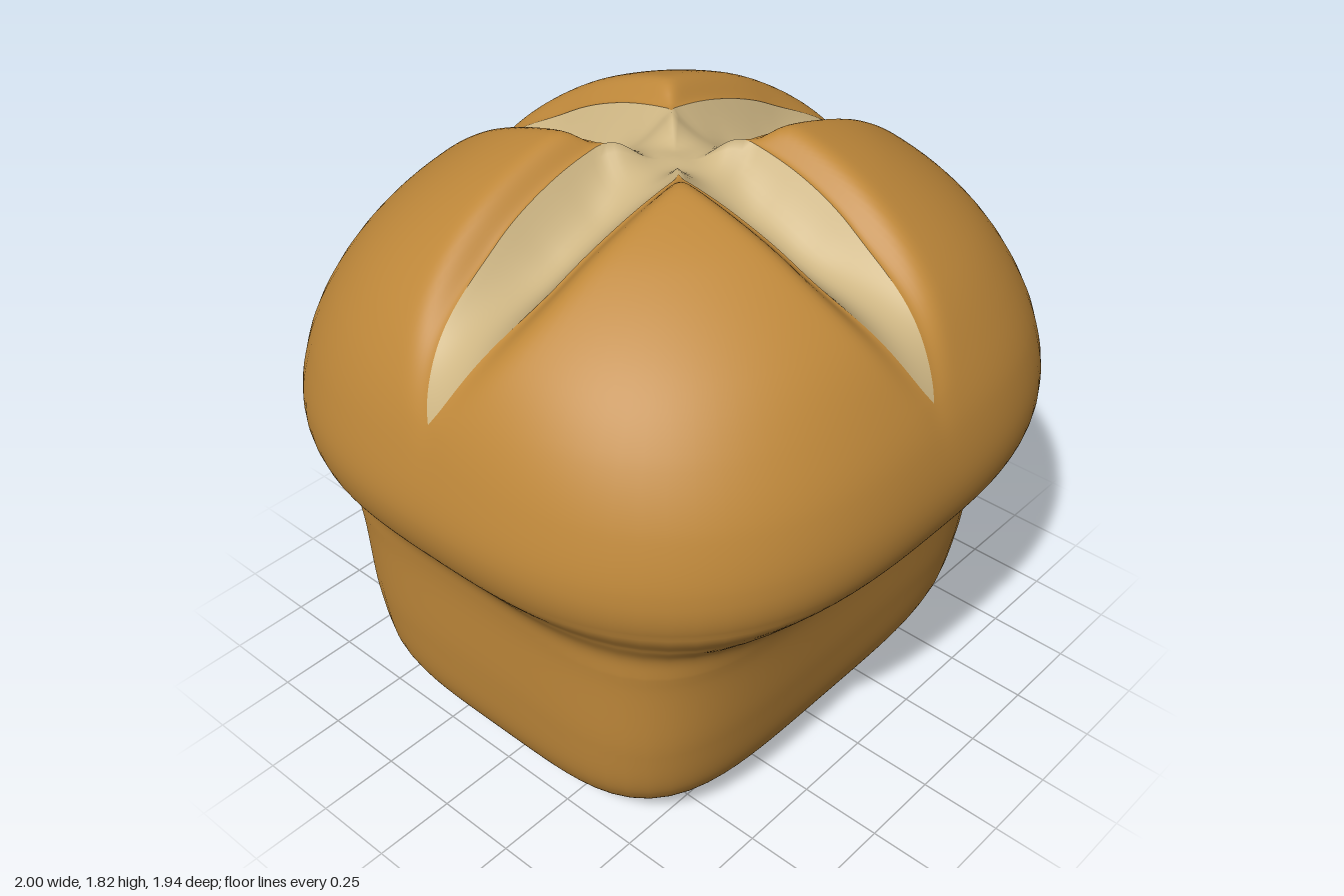
import * as THREE from 'three';
import { mergeVertices } from 'three/addons/utils/BufferGeometryUtils.js';

// Loaf outline from crown to underside: half width x, height y, half depth z, squareness
const PROFILE = [
  [0, 1.86, 0, 2.1], [0.2, 1.845, 0.19, 2.1], [0.4, 1.795, 0.385, 2.15], [0.6, 1.705, 0.57, 2.2],
  [0.8, 1.55, 0.76, 2.35], [0.9, 1.41, 0.86, 2.5], [0.965, 1.25, 0.935, 2.6], [1, 1.07, 0.968, 2.65],
  [0.975, 0.95, 0.945, 2.75], [0.91, 0.86, 0.87, 3.1], [0.86, 0.78, 0.775, 3.7], [0.845, 0.7, 0.735, 4.2],
  [0.83, 0.4, 0.69, 4.4], [0.8, 0.2, 0.65, 4.4], [0.74, 0.1, 0.6, 4.2], [0.62, 0.04, 0.5, 4],
  [0.4, 0.01, 0.32, 4], [0, 0, 0, 4],
];
const TIP = 0.93;
const EQUATOR = 7;
const STEPS = 9;
const { smoothstep, lerp } = THREE.MathUtils;

// Rings of the loaf, each with the half angle of the cut and its depths
function makeRows() {
  const curve = new THREE.CatmullRomCurve3(PROFILE.map(([x, y, z]) => new THREE.Vector3(x, y, z)));
  const segments = PROFILE.length - 1;
  const rows = [];
  for (let i = 0; i <= segments * STEPS; i++) {
    const f = i / STEPS;
    const k = Math.min(Math.floor(f), segments - 1);
    const p = curve.getPoint(f / segments);
    const s = f < EQUATOR ? Math.max(p.x, 0) : 1;
    const half = s < TIP ? 0.15 * Math.pow(1 - Math.pow(s / TIP, 4), 0.7) : 0;
    const angle = half >= s * Math.SQRT1_2 ? Math.PI / 4 : Math.asin(half / s);
    const lip = 0.065 * (1 - smoothstep(s, 0.6, 0.99));
    const floor = lip + (0.065 + 0.05 * smoothstep(s, 0.1, 0.35)) * (1 - smoothstep(s, 0.5, TIP));
    rows.push({
      a: Math.max(p.x, 0), b: Math.max(p.z, 0), y: p.y, s, angle, lip, floor,
      n: lerp(PROFILE[k][3], PROFILE[k + 1][3], f - k),
    });
  }
  return rows;
}

// Point on a ring, pressed inward by the given depth
function surfacePoint(row, theta, depth) {
  const c = Math.cos(theta), s = Math.sin(theta);
  let x = 0, z = 0;
  if (row.a > 1e-5 && row.b > 1e-5) {
    const r = Math.pow(Math.pow(Math.abs(c / row.a), row.n) + Math.pow(Math.abs(s / row.b), row.n), -1 / row.n);
    x = r * c;
    z = r * s;
  }
  const p = new THREE.Vector3(x, row.y, z);
  if (depth > 0) {
    p.addScaledVector(new THREE.Vector3(x, (row.y - 1) / 0.75, z / 0.93).normalize(), -depth);
  }
  return p;
}

// Crumb: hollow floor between the two lips of one arm, v from -1 to 1
function crumbPoint(row, arm, u) {
  const v = 2 * u - 1;
  const edge = lerp(row.floor, row.lip, smoothstep(row.s, 0.06, 0.185));
  return surfacePoint(row, arm * Math.PI / 2 + v * row.angle, edge + (row.floor - edge) * (1 - v * v));
}

// Crust: one quarter of the loaf, rolling down towards the cuts on both sides
function crustPoint(row, quarter, u) {
  const eased = u - 0.75 * Math.sin(2 * Math.PI * u) / (2 * Math.PI);
  const span = Math.PI / 2 - 2 * row.angle;
  const d1 = row.s * span * eased;
  const d2 = row.s * span * (1 - eased);
  const d = Math.max(0, -Math.log(Math.exp(-50 * d1) + Math.exp(-50 * d2)) / 50);
  const depth = row.lip * Math.exp(-Math.pow(d / 0.05, 2));
  return surfacePoint(row, quarter * Math.PI / 2 + row.angle + span * eased, depth);
}

// Four grids of quads around the loaf, welded for smooth normals
function buildShell(rows, cols, pointAt) {
  const positions = [];
  const indices = [];
  for (let part = 0; part < 4; part++) {
    const base = positions.length / 3;
    rows.forEach((row, i) => {
      for (let j = 0; j <= cols; j++) {
        positions.push(...pointAt(row, part, j / cols).toArray());
        if (i > 0 && j > 0) {
          const d = base + i * (cols + 1) + j;
          const c = d - 1, b = d - cols - 1, a = b - 1;
          indices.push(a, b, c, b, d, c);
        }
      }
    });
  }
  const geometry = new THREE.BufferGeometry();
  geometry.setAttribute('position', new THREE.Float32BufferAttribute(positions, 3));
  geometry.setIndex(indices);
  const welded = mergeVertices(geometry, 1e-4);
  welded.computeVertexNormals();
  return welded;
}

export function createModel() {
  const crustBrown = new THREE.MeshStandardMaterial({ color: 0xbf883a });
  crustBrown.name = 'crustBrown';
  const crumbCream = new THREE.MeshStandardMaterial({ color: 0xcdb583 });
  crumbCream.name = 'crumbCream';

  const rows = makeRows();
  const firstCrust = rows.findIndex((r) => r.angle < Math.PI / 4) - 1;
  const lastCrumb = rows.findIndex((r) => r.angle === 0);

  const crust = new THREE.Mesh(buildShell(rows.slice(firstCrust), 40, crustPoint), crustBrown);
  crust.name = 'crust';
  const crumb = new THREE.Mesh(buildShell(rows.slice(0, lastCrumb + 1), 14, crumbPoint), crumbCream);
  crumb.name = 'crossCutCrumb';

  const loaf = new THREE.Group();
  loaf.name = 'breadLoaf';
  loaf.add(crust, crumb);
  return loaf;
}
